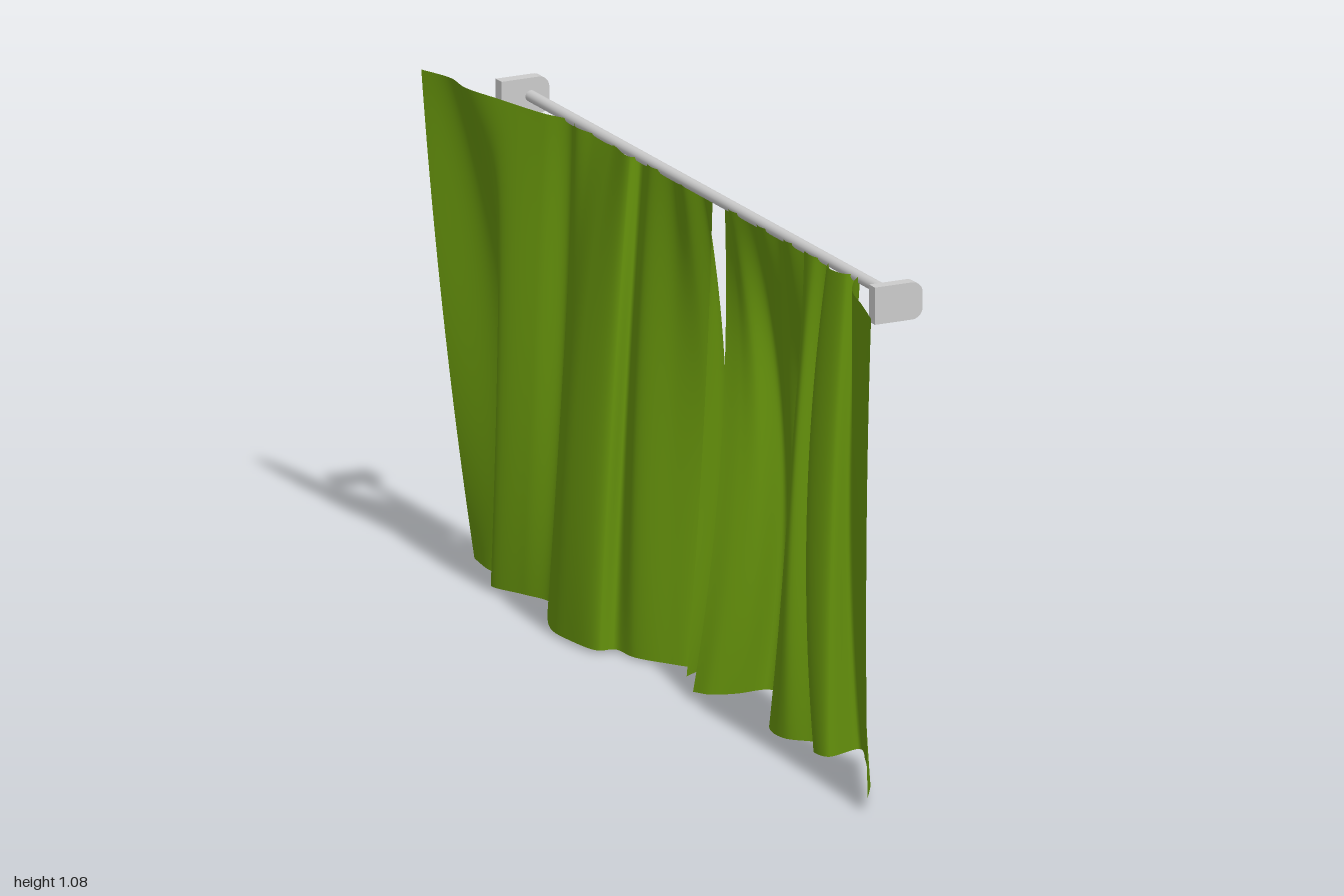
import * as THREE from 'three';

const metal = new THREE.MeshStandardMaterial({ color: 0xcccccc });
const cloth = new THREE.MeshStandardMaterial({ color: 0x66930c, side: THREE.DoubleSide });

// Fold lines of each panel: z, x at the top, at half height and at the hem
const frontFolds = [
  [1.0, -0.115, 0.95, -0.1, 0.955, -0.1], [0.9, -0.085, 0.87, -0.075, 0.87, -0.05],
  [0.81, -0.06, 0.79, -0.045, 0.79, -0.015], [0.73, -0.015, 0.72, -0.005, 0.7, 0.025],
  [0.685, 0.02, 0.655, 0.012, 0.625, 0.05], [0.67, -0.005, 0.66, -0.03, 0.645, -0.03],
  [0.6, -0.01, 0.58, -0.045, 0.6, -0.04], [0.56, 0.015, 0.54, -0.01, 0.545, 0.0],
  [0.52, 0.0, 0.515, -0.045, 0.485, -0.045], [0.49, 0.0, 0.47, -0.03, 0.42, -0.045],
  [0.47, 0.005, 0.445, -0.005, 0.37, -0.015], [0.46, 0.02, 0.44, 0.04, 0.4, 0.07],
  [0.4, 0.0, 0.38, 0.065, 0.35, 0.085], [0.34, 0.015, 0.32, 0.05, 0.28, 0.06],
  [0.28, 0.0, 0.25, 0.085, 0.2, 0.1], [0.22, 0.015, 0.19, 0.1, 0.145, 0.09],
  [0.15, 0.0, 0.19, 0.045, 0.14, 0.02], [0.11, 0.015, 0.165, 0.015, 0.12, -0.03],
  [0.068, 0.03, 0.13, -0.01, 0.085, -0.05],
];
const backFolds = [
  [0.035, 0.02, -0.045, 0.04, -0.08, 0.02], [0.0, 0.02, -0.05, 0.085, -0.11, 0.07],
  [-0.03, 0.03, -0.07, 0.105, -0.145, 0.11], [-0.07, 0.005, -0.1, 0.07, -0.125, 0.06],
  [-0.13, 0.015, -0.15, 0.03, -0.17, 0.02], [-0.2, 0.0, -0.22, -0.02, -0.235, -0.02],
  [-0.27, 0.015, -0.29, -0.01, -0.3, -0.03], [-0.285, -0.005, -0.285, -0.045, -0.305, -0.065],
  [-0.38, 0.005, -0.39, -0.07, -0.4, -0.085], [-0.46, 0.005, -0.46, -0.06, -0.47, -0.085],
  [-0.52, -0.005, -0.53, -0.03, -0.56, -0.05], [-0.57, 0.01, -0.605, 0.01, -0.65, 0.0],
  [-0.63, -0.02, -0.65, -0.035, -0.72, -0.025], [-0.74, -0.06, -0.73, -0.075, -0.8, -0.055],
  [-0.84, -0.09, -0.785, -0.015, -0.835, -0.005], [-0.92, -0.085, -0.86, -0.015, -0.9, -0.01],
  [-1.0, -0.11, -0.97, -0.075, -0.98, 0.0],
];

// Smooth blend through the values at t = 0, 0.5 and 1
const blend = (a, b, c, t) =>
  a * (1 - t) * (1 - 2 * t) + b * 4 * t * (1 - t) + c * t * (2 * t - 1);

// Hanging cloth: a smooth curve through the folds at every height
function makePanel(name, folds, hemStart, hemEnd) {
  const cols = 160, rows = 28;
  const geo = new THREE.PlaneGeometry(1, 1, cols, rows);
  const pos = geo.attributes.position;
  for (let r = 0; r <= rows; r++) {
    const t = r / rows;
    const curve = new THREE.CatmullRomCurve3(folds.map(([z0, x0, z1, x1, z2, x2]) =>
      new THREE.Vector3(blend(x0, x1, x2, t), 0, blend(z0, z1, z2, t))));
    for (let c = 0; c <= cols; c++) {
      const u = c / cols;
      const p = curve.getPoint(u);
      const top = 1.04 + 0.01 * THREE.MathUtils.smoothstep(Math.abs(p.z), 0.55, 0.85);
      const hem = THREE.MathUtils.lerp(hemStart, hemEnd, u);
      pos.setXYZ(r * (cols + 1) + c, p.x, THREE.MathUtils.lerp(top, hem, t), p.z);
    }
  }
  geo.computeVertexNormals();
  const mesh = new THREE.Mesh(geo, cloth);
  mesh.name = name;
  return mesh;
}

// Wall bracket: plate with two rounded corners on the +x side
function makeBracket(name, z) {
  const [x0, x1, y0, y1, r] = [-0.05, 0.058, 1.0, 1.078, 0.024];
  const s = new THREE.Shape();
  s.moveTo(x0, y0);
  s.lineTo(x1 - r, y0);
  s.absarc(x1 - r, y0 + r, r, -Math.PI / 2, 0);
  s.absarc(x1 - r, y1 - r, r, 0, Math.PI / 2);
  s.lineTo(x0, y1);
  s.closePath();
  const geo = new THREE.ExtrudeGeometry(s, { depth: 0.026, bevelEnabled: false, curveSegments: 8 });
  const mesh = new THREE.Mesh(geo, metal);
  mesh.position.z = z - 0.013;
  mesh.name = name;
  return mesh;
}

export function createModel() {
  const group = new THREE.Group();
  group.name = 'curtains';

  // Rod running between the brackets
  const rod = new THREE.Mesh(new THREE.CylinderGeometry(0.012, 0.012, 1.65, 20), metal);
  rod.rotation.x = Math.PI / 2;
  rod.position.set(0.016, 1.04, 0.05);
  rod.name = 'rod';

  group.add(
    rod,
    makeBracket('frontBracket', 0.877),
    makeBracket('backBracket', -0.775),
    makePanel('frontCurtain', frontFolds, 0.03, 0.02),
    makePanel('backCurtain', backFolds, 0.0, 0.015),
  );
  return group;
}
